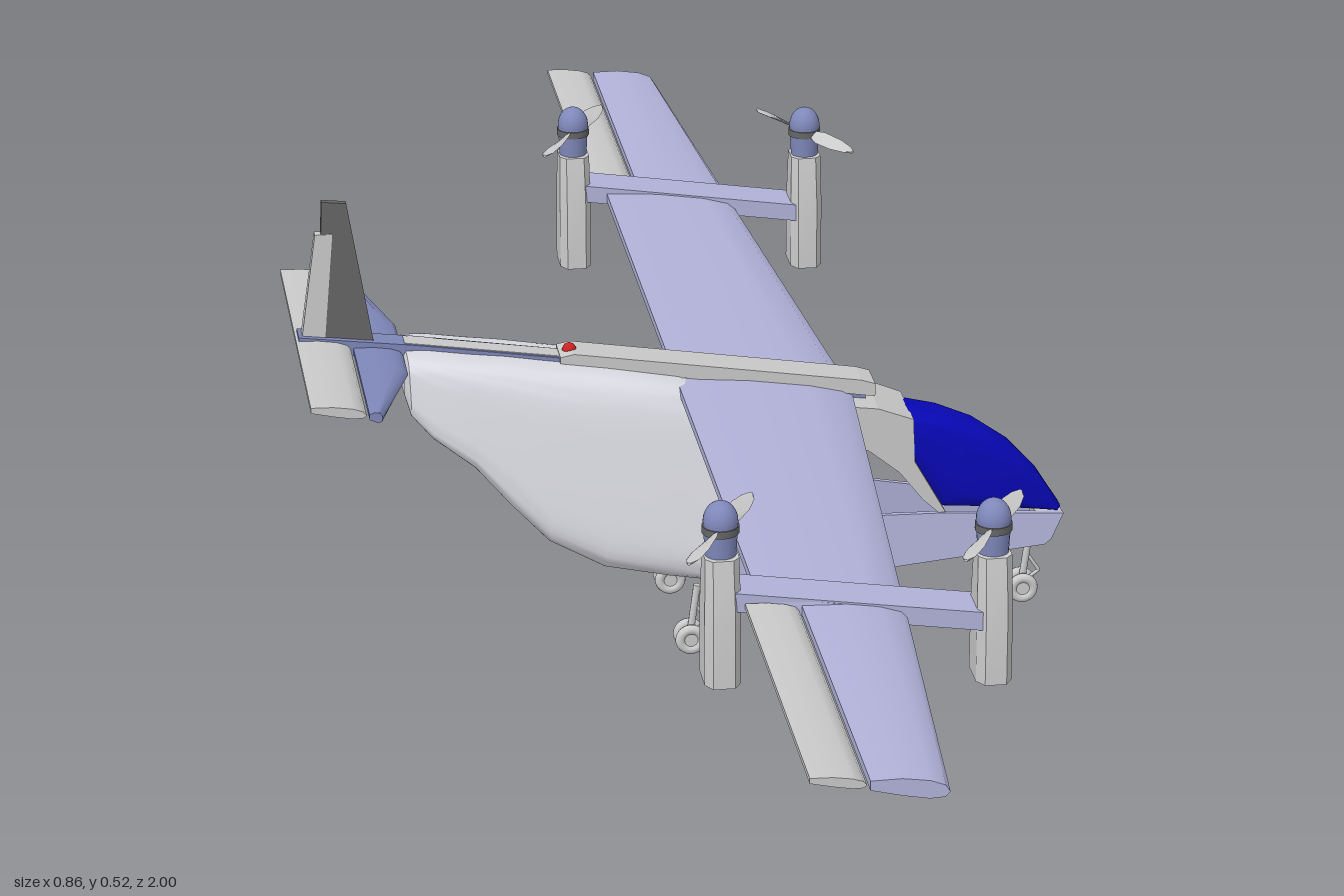
import * as THREE from 'three';
import { toCreasedNormals } from 'three/addons/utils/BufferGeometryUtils.js';

const mat = (color, side = THREE.FrontSide) => new THREE.MeshStandardMaterial({ color, side });
const GREY = mat(0xcccccc), LAVENDER = mat(0xb4b4dc), SLATE = mat(0x7f88ba), DARK = mat(0x666666);
const BLUE = mat(0x0808b8, THREE.DoubleSide), SHELL = mat(0xdcdce4, THREE.DoubleSide), RED = mat(0xcc2222);

function add(parent, name, geometry, material, x = 0, y = 0, z = 0) {
  const mesh = new THREE.Mesh(geometry, material);
  mesh.name = name;
  mesh.position.set(x, y, z);
  parent.add(mesh);
  return mesh;
}

// Skin through rings of points that turn counter-clockwise about the direction of travel
function loft(rings, capStart = true, capEnd = true, crease = 0.6) {
  const n = rings[0].length, index = [], last = (rings.length - 1) * n;
  for (let r = 0; r < rings.length - 1; r++) {
    for (let i = 0; i < n; i++) {
      const a = r * n + i, b = r * n + (i + 1) % n;
      index.push(a, b, b + n, a, b + n, a + n);
    }
  }
  for (let i = 1; i < n - 1; i++) {
    if (capStart) index.push(0, i + 1, i);
    if (capEnd) index.push(last, last + i, last + i + 1);
  }
  const g = new THREE.BufferGeometry();
  g.setAttribute('position', new THREE.Float32BufferAttribute(rings.flat(2), 3));
  g.setIndex(index);
  return toCreasedNormals(g, crease);
}

// Rounded body section between a bottom point and a top point, with a half width at each
function bodyRing([xb, yb, xt, yt, wb, wt], e = 0.35, n = 40) {
  const pow = (s) => Math.sign(s) * Math.abs(s) ** e;
  return Array.from({ length: n }, (_, i) => {
    const a = (i + 0.5) / n * Math.PI * 2, v = 0.5 + 0.5 * pow(Math.cos(a));
    return [xb + (xt - xb) * v, yb + (yt - yb) * v, (wb + (wt - wb) * v) * pow(Math.sin(a))];
  });
}

// Wing section from trailing edge x0 to leading edge x1, lying on the sloped wing plane
const planeY = (x) => 0.3 - 0.15 * (x + 0.03);
const FOIL = [[1, 0], [0.94, 0.32], [0.75, 0.5], [0.4, 0.5], [0, 0.25], [0, -0.25], [0.4, -0.4], [0.75, -0.45], [0.94, -0.3]];
const foilRing = (x0, x1, z, t, lift = 0) => FOIL.map(([u, h]) => {
  const x = x0 + (x1 - x0) * u;
  return [x, planeY(x) + lift + h * t, z];
});

// Side-view outline given a width that may vary with x and y
function slab(points, zOut, zIn = (x, y) => -zOut(x, y)) {
  const g = new THREE.ExtrudeGeometry(new THREE.Shape(points.map((p) => new THREE.Vector2(...p))),
    { depth: 1, bevelEnabled: false });
  const p = g.attributes.position;
  for (let i = 0; i < p.count; i++) {
    const x = p.getX(i), y = p.getY(i), a = zIn(x, y);
    p.setZ(i, a + (zOut(x, y) - a) * p.getZ(i));
  }
  g.computeVertexNormals();
  return g;
}

function rod(parent, name, a, b, r, material = GREY) {
  const A = new THREE.Vector3(...a), d = new THREE.Vector3(...b).sub(A);
  const m = add(parent, name, new THREE.CylinderGeometry(r, r, d.length(), 10), material);
  m.position.copy(A).addScaledVector(d, 0.5);
  m.quaternion.setFromUnitVectors(new THREE.Vector3(0, 1, 0), d.normalize());
}

function landingGear(x, z) {
  const g = new THREE.Group();
  g.name = 'landingGear';
  g.position.set(x, 0, z);
  rod(g, 'strut', [0.008, 0.08, 0], [0, 0.018, 0], 0.004);
  rod(g, 'upperLink', [0.007, 0.055, 0], [0.02, 0.035, 0], 0.002);
  rod(g, 'lowerLink', [0.02, 0.035, 0], [0.002, 0.022, 0], 0.002);
  rod(g, 'axle', [0, 0.018, -0.012], [0, 0.018, 0.012], 0.004);
  for (const s of [-1, 1]) {
    add(g, 'wheel', new THREE.TorusGeometry(0.012, 0.0055, 10, 24), GREY, 0, 0.018, s * 0.009);
    rod(g, 'hub', [0, 0.018, s * 0.006], [0, 0.018, s * 0.012], 0.009);
  }
  return g;
}

// Lift unit: tapered pylon, motor, domed spinner and two twisted blades
function liftRotor(x, z, base, bladeAngle) {
  const g = new THREE.Group();
  g.name = 'liftRotor';
  g.position.set(x, base, z);
  const corners = [[1, -0.6], [1, 0.6], [0.6, 1], [-0.6, 1], [-1, 0.6], [-1, -0.6], [-0.6, -1], [0.6, -1]].reverse();
  const level = (y, wx, wz) => corners.map(([a, b]) => [a * wx, y, b * wz]);
  add(g, 'pylon', loft([level(0, 0.0185, 0.03), level(0.08, 0.0185, 0.029), level(0.137, 0.0175, 0.02)], true, true, 0.3), GREY);
  add(g, 'motor', new THREE.CylinderGeometry(0.018, 0.016, 0.036, 24), SLATE, 0, 0.155, 0);
  add(g, 'hubBand', new THREE.CylinderGeometry(0.019, 0.019, 0.008, 24), DARK, 0, 0.165, 0);
  const dome = add(g, 'spinner', new THREE.SphereGeometry(0.018, 24, 10, 0, Math.PI * 2, 0, Math.PI / 2), SLATE, 0, 0.173, 0);
  dome.scale.y = 1.2;
  const rotor = new THREE.Group();
  rotor.name = 'propeller';
  rotor.position.y = 0.165;
  rotor.rotation.y = bladeAngle;
  for (let k = 0; k < 2; k++) {
    const rings = [[0.012, 0.004, 0.9], [0.03, 0.009, 0.6], [0.06, 0.01, 0.35], [0.082, 0.007, 0.2], [0.092, 0.002, 0.15]]
      .map(([d, w, twist]) => Array.from({ length: 10 }, (_, i) => {
        const a = i / 10 * Math.PI * 2, u = Math.cos(a) * w, v = Math.sin(a) * 0.0015;
        return [u * Math.cos(twist) - v * Math.sin(twist), u * Math.sin(twist) + v * Math.cos(twist), d];
      }));
    add(rotor, 'blade', loft(rings), GREY).rotation.y = k * Math.PI;
  }
  g.add(rotor);
  return g;
}

export function createModel() {
  const model = new THREE.Group();
  model.name = 'aircraft';

  // Rear cabin shell, open towards the cockpit
  const pod = [
    [-0.313, 0.305, -0.313, 0.342, 0.035, 0.035], [-0.307, 0.285, -0.309, 0.351, 0.055, 0.048],
    [-0.285, 0.26, -0.285, 0.35, 0.067, 0.053], [-0.24, 0.225, -0.24, 0.343, 0.076, 0.056],
    [-0.2, 0.178, -0.2, 0.338, 0.085, 0.058], [-0.16, 0.135, -0.16, 0.331, 0.092, 0.06],
    [-0.1, 0.102, -0.09, 0.32, 0.098, 0.06], [-0.03, 0.087, -0.01, 0.305, 0.1, 0.057],
    [0.03, 0.077, 0.065, 0.272, 0.1, 0.052]];
  add(model, 'cabinShell', loft(pod.map((s) => bodyRing(s)), true, false), SHELL);

  // Tub-shaped front hull
  const hullW = (x, y) => 0.099 - (x - 0.03) * 0.2 - (y - 0.077) * 0.15;
  const side = [[0.03, 0.077], [0.405, 0.077], [0.413, 0.082], [0.428, 0.11], [0.28, 0.131], [0.1, 0.15], [0.043, 0.16]];
  for (const s of [-1, 1]) {
    add(model, 'hullSide', slab(side, hullW, (x, y) => hullW(x, y) - 0.006), LAVENDER).scale.z = s;
  }
  add(model, 'hullFloor', slab([[0.03, 0.077], [0.405, 0.077], [0.41, 0.084], [0.03, 0.084]], (x, y) => hullW(x, y) - 0.002), GREY);
  add(model, 'noseBlock', slab([[0.395, 0.078], [0.41, 0.08], [0.427, 0.11], [0.395, 0.114]], (x, y) => hullW(x, y) - 0.001), GREY);

  // Seats
  for (const s of [-1, 1]) {
    add(model, 'seatBase', new THREE.BoxGeometry(0.06, 0.03, 0.05), GREY, 0.085, 0.1, s * 0.035);
    add(model, 'seatBack', new THREE.BoxGeometry(0.016, 0.1, 0.045), GREY, 0.06, 0.145, s * 0.035).rotation.z = 0.15;
  }

  // Cockpit roof arch and windscreen
  add(model, 'roofArch', slab([[0.06, 0.263], [0.15, 0.237], [0.2, 0.212], [0.235, 0.183], [0.262, 0.148], [0.28, 0.131],
    [0.288, 0.131], [0.252, 0.195], [0.25, 0.246], [0.21, 0.262], [0.06, 0.285]], (x) => 0.05 - (x - 0.06) * 0.05), GREY);
  const screen = [
    [0.25, 0.195, 0.248, 0.247, 0.041, 0.037], [0.266, 0.165, 0.285, 0.24, 0.04, 0.033],
    [0.285, 0.131, 0.325, 0.224, 0.039, 0.029], [0.33, 0.126, 0.365, 0.196, 0.033, 0.024],
    [0.375, 0.12, 0.398, 0.16, 0.026, 0.018], [0.42, 0.112, 0.425, 0.117, 0.013, 0.01]];
  add(model, 'windscreen', loft(screen.map((s) => bodyRing(s, 0.5))), BLUE);

  // Spine beam, wing saddle and beacon
  add(model, 'tailBeam', slab([[-0.425, 0.358], [-0.3, 0.338], [0.2, 0.262], [0.2, 0.28], [-0.3, 0.357], [-0.425, 0.373]], () => 0.014), SLATE);
  add(model, 'spineCover', slab([[-0.31, 0.345], [0.05, 0.29], [0.05, 0.305], [-0.31, 0.359]], () => 0.011), GREY);
  add(model, 'wingSaddle', slab([[-0.14, 0.325], [0.21, 0.268], [0.21, 0.283], [0.195, 0.288], [-0.125, 0.338], [-0.14, 0.335]], () => 0.02), GREY);
  add(model, 'beacon', new THREE.SphereGeometry(0.008, 12, 8), RED, -0.128, 0.336, 0);

  // Main wing with ailerons
  const lead = (z) => 0.187 - 0.08 * Math.abs(z);
  const stations = [[-1, 0.03], [-0.606, 0.03], [-0.605, -0.012], [0, -0.012], [0.605, -0.012], [0.606, 0.03], [1, 0.03]];
  add(model, 'mainWing', loft(stations.map(([z, x0]) => foilRing(x0, lead(z), z, 0.02))), LAVENDER);

  for (const s of [-1, 1]) {
    const name = s > 0 ? 'left' : 'right';
    const mid = s * 0.803;
    add(model, name + 'Aileron', loft([-1, 1].map((k) => foilRing(-0.028, 0.027, mid + k * 0.196, 0.011))), GREY);

    // Boom plate carrying a front and a rear rotor
    const z = s * 0.58;
    add(model, name + 'Boom', new THREE.BoxGeometry(0.28, 0.02, 0.05), LAVENDER, 0.1, planeY(0.1) + 0.002, z)
      .rotation.z = -Math.atan(0.15);
    model.add(liftRotor(-0.049, z, 0.21, -0.5), liftRotor(0.23, z, 0.195, s * -0.5));
    model.add(landingGear(-0.006, s * 0.08));
  }
  model.add(landingGear(0.384, 0));

  // Tailplane, elevator, fin and rudder
  const tail = [[-0.2, -0.352], [-0.07, -0.312], [0.07, -0.312], [0.2, -0.352]];
  add(model, 'tailplane', loft(tail.map(([z, x1]) => foilRing(-0.366, x1, z, 0.012, 0.004))), SLATE);
  add(model, 'elevator', loft([-0.2, 0.2].map((z) => foilRing(-0.428, -0.369, z, 0.012, 0.006))), GREY);
  add(model, 'fin', slab([[-0.402, 0.365], [-0.342, 0.355], [-0.369, 0.522], [-0.396, 0.525]], (x, y) => 0.007 - (y - 0.36) * 0.02), DARK);
  add(model, 'rudder', slab([[-0.421, 0.37], [-0.396, 0.365], [-0.385, 0.488], [-0.404, 0.488]], (x, y) => 0.008 - (y - 0.36) * 0.02), GREY);

  return model;
}
